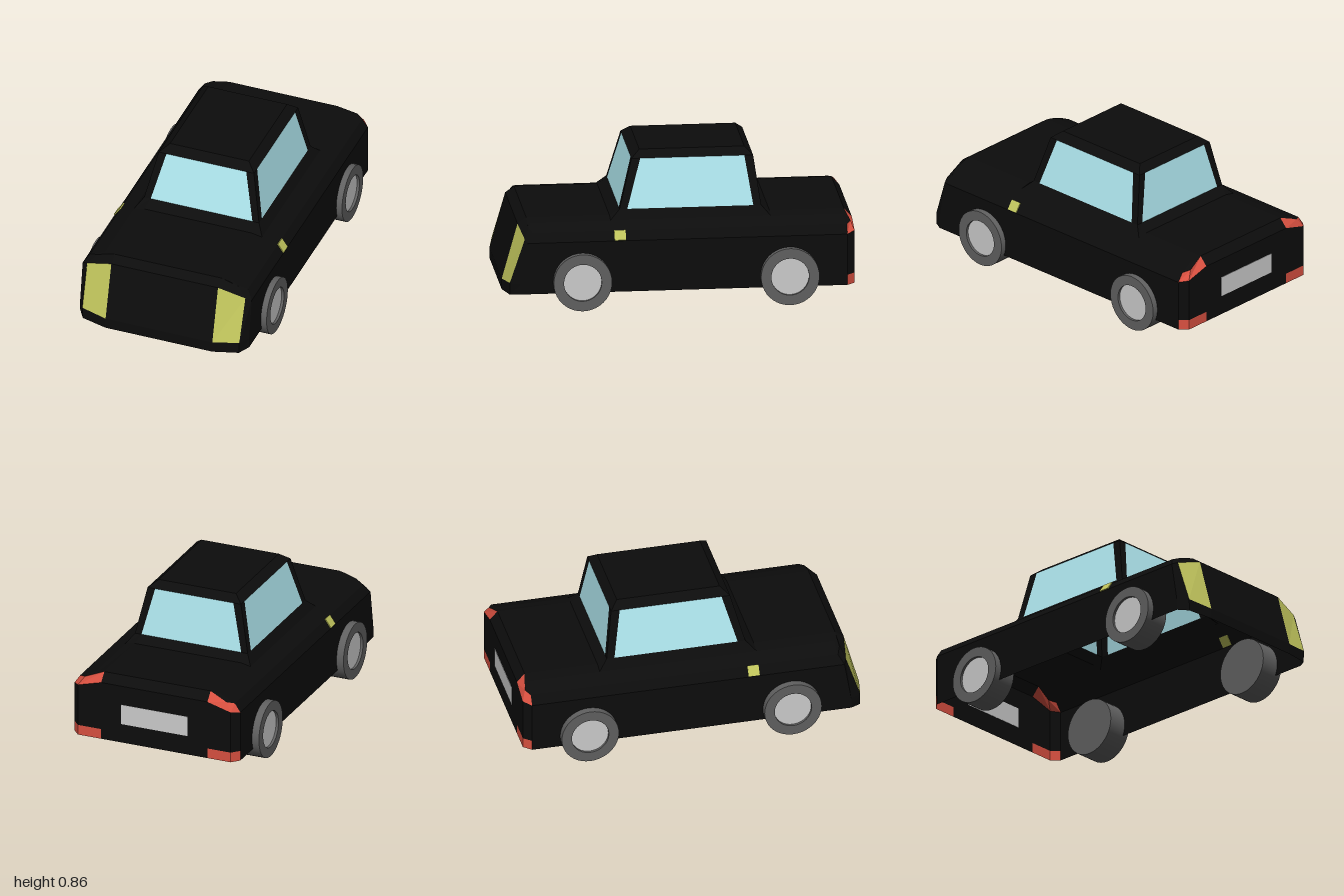
import * as THREE from 'three';

const mat = (color) => new THREE.MeshStandardMaterial({ color, flatShading: true, side: THREE.DoubleSide });
const BLACK = mat(0x0c0c0c), GLASS = mat(0xb0e8f0), YELLOW = mat(0xc0c45c), RED = mat(0xd85040);
const GREY = new THREE.MeshStandardMaterial({ color: 0xcccccc });
const RUBBER = new THREE.MeshStandardMaterial({ color: 0x606060 });

// Cabin ring: width w, front/rear z, with pillar edges ix (front/rear panes) and iz (side panes)
const cabin = (y, w, zf, zb, ix, iz) => [
  [ix, y, zf], [w, y, zf], [w, y, zf - iz], [w, y, zb + iz], [w, y, zb], [ix, y, zb],
];

// Half outlines of the shell from sill to roof, each running front to back on the +x side
const HALF_RINGS = [
  [[0.325, 0.08, 1], [0.475, 0.09, 0.97], [0.515, 0.1, 0.91], [0.515, 0.1, -0.955], [0.475, 0.1, -1], [0.33, 0.1, -1]],
  [[0.325, 0.143, 1], [0.478, 0.16, 0.97], [0.515, 0.16, 0.91], [0.515, 0.16, -0.955], [0.475, 0.16, -1], [0.33, 0.16, -1]],
  [[0.325, 0.465, 0.91], [0.482, 0.415, 0.885], [0.515, 0.4, 0.87], [0.515, 0.4, -0.955], [0.475, 0.41, -1], [0.33, 0.45, -1]],
  [[0.325, 0.5, 0.86], [0.43, 0.47, 0.86], [0.48, 0.45, 0.84], [0.48, 0.45, -0.955], [0.44, 0.46, -0.98], [0.33, 0.5, -0.955]],
  [[0.325, 0.5, 0.86], [0.37, 0.49, 0.86], [0.39, 0.487, 0.84], [0.39, 0.487, -0.94], [0.37, 0.49, -0.955], [0.33, 0.5, -0.955]],
  [[0.325, 0.5, 0.385], [0.39, 0.487, 0.385], [0.39, 0.487, 0.34], [0.39, 0.487, -0.48], [0.39, 0.487, -0.53], [0.33, 0.5, -0.53]],
  cabin(0.54, 0.35, 0.33, -0.48, 0.31, 0.045),
  cabin(0.82, 0.29, 0.255, -0.44, 0.243, 0.05),
  cabin(0.86, 0.24, 0.205, -0.395, 0.22, 0.02),
];

// Panels that are not bodywork, keyed by "row,column" of the shell
const PANELS = {
  '1,0': 'leftHeadlight', '1,10': 'rightHeadlight',
  '0,3': 'leftLowerTailLight', '0,4': 'leftLowerTailLight',
  '0,6': 'rightLowerTailLight', '0,7': 'rightLowerTailLight',
  '2,3': 'leftUpperTailLight', '2,4': 'leftUpperTailLight',
  '2,6': 'rightUpperTailLight', '2,7': 'rightUpperTailLight',
  '6,2': 'leftWindow', '6,8': 'rightWindow', '6,5': 'rearWindow', '6,11': 'windshield',
};

function materialFor(name) {
  if (name.endsWith('Headlight')) return YELLOW;
  if (name.endsWith('TailLight')) return RED;
  return name === 'bodyShell' ? BLACK : GLASS;
}

// Loft the mirrored rings, sorting each quad into its own part
function addShell(parent) {
  const rings = HALF_RINGS.map((h) => [...h, ...[...h].reverse().map(([x, y, z]) => [-x, y, z])]);
  const parts = {};
  const quad = (name, a, b, c, d) => (parts[name] ??= []).push(...a, ...b, ...c, ...a, ...c, ...d);
  for (let r = 0; r < rings.length - 1; r++) {
    for (let i = 0; i < 12; i++) {
      const j = (i + 1) % 12;
      quad(PANELS[`${r},${i}`] ?? 'bodyShell', rings[r][i], rings[r][j], rings[r + 1][j], rings[r + 1][i]);
    }
  }
  // Roof
  const top = rings[rings.length - 1];
  for (let i = 0; i < 5; i++) quad('bodyShell', top[i], top[i + 1], top[10 - i], top[11 - i]);

  for (const [name, positions] of Object.entries(parts)) {
    const geo = new THREE.BufferGeometry();
    geo.setAttribute('position', new THREE.Float32BufferAttribute(positions, 3));
    geo.computeVertexNormals();
    const mesh = new THREE.Mesh(geo, materialFor(name));
    mesh.name = name;
    parent.add(mesh);
  }
}

// Wheel along its local y axis, outer face at the top
function makeWheel(name) {
  const wheel = new THREE.Group();
  wheel.name = name;
  const R = 0.167, hubR = 0.108, h = 0.075;
  const tyre = new THREE.Mesh(new THREE.CylinderGeometry(R, R, 2 * h, 40, 1, true), RUBBER);
  tyre.name = 'tyreTread';
  const inner = new THREE.Mesh(new THREE.CircleGeometry(R, 40).rotateX(Math.PI / 2), RUBBER);
  inner.name = 'innerFace';
  inner.position.y = -h;
  const wall = new THREE.Mesh(new THREE.RingGeometry(hubR, R, 40).rotateX(-Math.PI / 2), RUBBER);
  wall.name = 'sidewall';
  wall.position.y = h;
  const lipMat = RUBBER.clone();
  lipMat.side = THREE.BackSide;
  const lip = new THREE.Mesh(new THREE.CylinderGeometry(hubR, hubR, 0.015, 40, 1, true), lipMat);
  lip.name = 'rimLip';
  lip.position.y = h - 0.0075;
  const hub = new THREE.Mesh(new THREE.CircleGeometry(hubR, 40).rotateX(-Math.PI / 2), GREY);
  hub.name = 'hubcap';
  hub.position.y = h - 0.015;
  wheel.add(tyre, inner, wall, lip, hub);
  return wheel;
}

export function createModel() {
  const car = new THREE.Group();
  car.name = 'car';

  const body = new THREE.Group();
  body.name = 'body';
  body.position.x = 0.004;
  addShell(body);
  car.add(body);

  for (const [side, s] of [['Left', 1], ['Right', -1]]) {
    // Side marker lying on the shoulder bevel
    const marker = new THREE.Mesh(new THREE.BoxGeometry(0.008, 0.062, 0.065), YELLOW);
    marker.name = `side${side}Marker`;
    marker.position.set(s * 0.4975, 0.428, 0.342);
    marker.rotation.z = s * Math.atan2(0.035, 0.05);
    body.add(marker);

    for (const [end, z] of [['front', 0.56], ['rear', -0.625]]) {
      const wheel = makeWheel(`${end}${side}Wheel`);
      wheel.rotation.z = -s * Math.PI / 2;
      wheel.position.set(s * 0.479, 0.167, z);
      car.add(wheel);
    }
  }

  // Rear plate
  const plate = new THREE.Mesh(new THREE.BoxGeometry(0.415, 0.12, 0.004), GREY);
  plate.name = 'rearPlate';
  plate.position.set(0, 0.275, -1);
  body.add(plate);

  return car;
}
